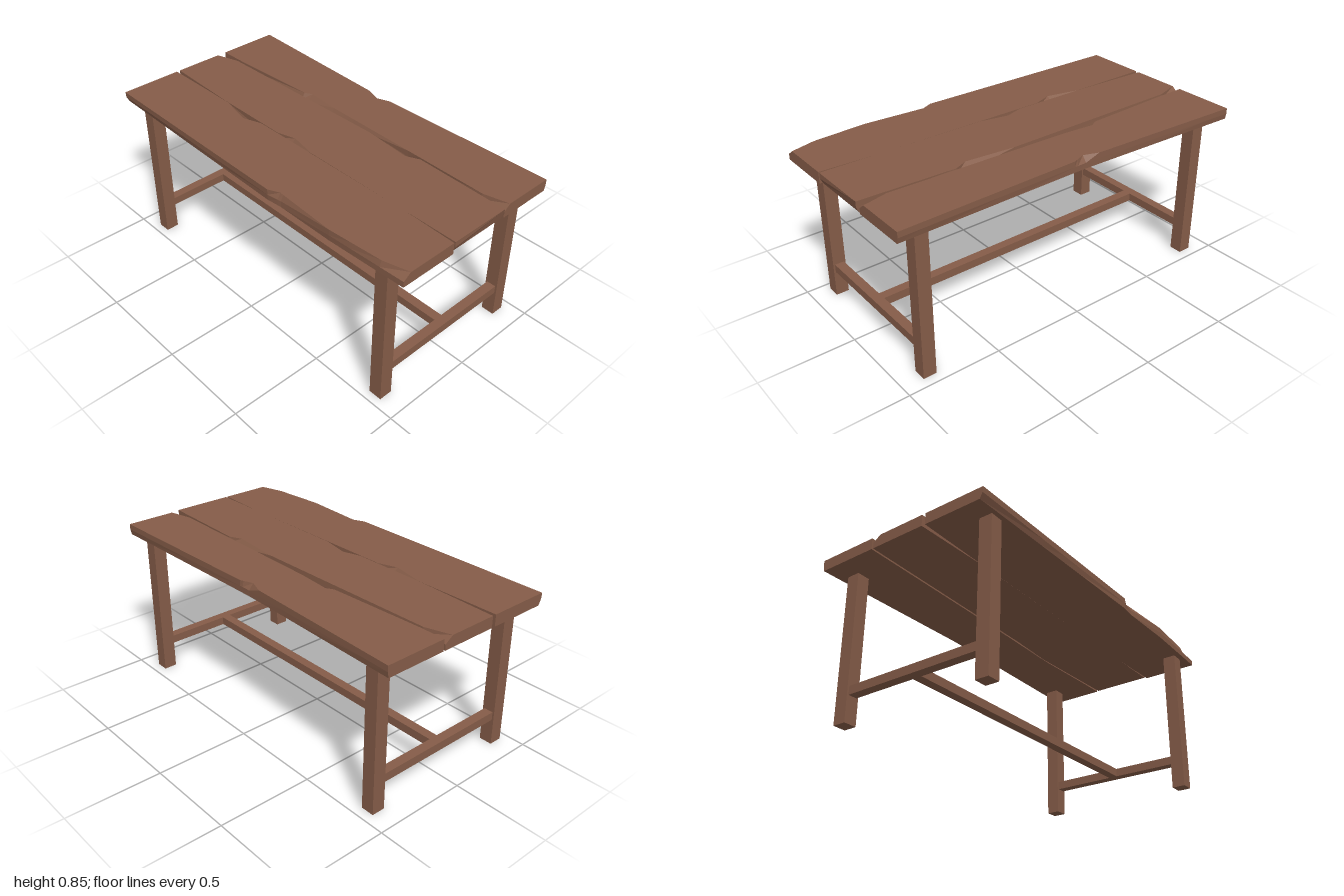
import * as THREE from 'three';

const wood = new THREE.MeshStandardMaterial({ color: 0x855c48 });
wood.name = 'brown wood';
wood.flatShading = true;

const TOP = 0.85, MID = 0.82, BOTTOM = 0.79;

// z of an edge line, given as [x, z] points, at a station x
function edgeAt(points, x) {
  for (let i = 1; i < points.length; i++) {
    const [x0, z0] = points[i - 1], [x1, z1] = points[i];
    if (x <= x1) return z0 + (z1 - z0) * Math.max(0, (x - x0) / (x1 - x0));
  }
  return points[points.length - 1][1];
}

// Rough plank: six-cornered sections lofted along x.
// back and front each hold the edge lines at the top, middle and bottom.
function plank(name, back, front, endCut = 0) {
  const lines = [back.top, front.top, front.mid, front.bottom, back.bottom, back.mid];
  const heights = [TOP, TOP, MID, BOTTOM, BOTTOM, MID];
  const xs = [...new Set(lines.flat().map(p => p[0]))].sort((a, b) => a - b);
  const positions = [], index = [], last = xs.length - 1;
  xs.forEach((x, i) => lines.forEach((line, k) => {
    const cut = i === last && (k === 3 || k === 4) ? endCut : 0;
    positions.push(x - cut, heights[k], edgeAt(line, x));
  }));
  for (let i = 0; i < last; i++) {
    for (let k = 0; k < 6; k++) {
      const a = i * 6 + k, b = i * 6 + (k + 1) % 6, c = a + 6, d = b + 6;
      index.push(a, b, c, b, d, c);
    }
  }
  for (let k = 1; k < 5; k++) {
    index.push(0, k + 1, k);
    index.push(last * 6, last * 6 + k, last * 6 + k + 1);
  }
  const indexed = new THREE.BufferGeometry();
  indexed.setAttribute('position', new THREE.Float32BufferAttribute(positions, 3));
  indexed.setIndex(index);
  const geometry = indexed.toNonIndexed();
  geometry.computeVertexNormals();
  const mesh = new THREE.Mesh(geometry, wood);
  mesh.name = name;
  return mesh;
}

function beam(name, w, h, d, x, y, z) {
  const mesh = new THREE.Mesh(new THREE.BoxGeometry(w, h, d), wood);
  mesh.name = name;
  mesh.position.set(x, y, z);
  return mesh;
}

export function createModel() {
  const table = new THREE.Group();
  table.name = 'table';

  // Back plank
  const backOuter = [[-1, -0.505], [-0.05, -0.465], [0.99, -0.485]];
  const backInner = [[-1, -0.175], [0, -0.185], [0.45, -0.195], [0.85, -0.18], [0.99, -0.178]];
  table.add(plank('backPlank', {
    top: [[-1, -0.505], [-0.13, -0.468], [-0.05, -0.44], [0.02, -0.466], [0.99, -0.485]],
    mid: backOuter,
    bottom: [[-1, -0.5], [-0.05, -0.465], [0.99, -0.478]],
  }, {
    top: [[-1, -0.175], [-0.85, -0.177], [-0.35, -0.2], [-0.31, -0.222], [-0.13, -0.207],
      [0.4, -0.195], [0.86, -0.184], [0.99, -0.215]],
    mid: backInner,
    bottom: backInner,
  }));

  // Middle plank
  const middleBack = [[-1, -0.165], [0.15, -0.178], [0.42, -0.19], [1, -0.165]];
  const middleFront = [[-1, 0.14], [-0.58, 0.157], [1, 0.165]];
  table.add(plank('middlePlank', {
    top: [[-1, -0.123], [-0.87, -0.163], [0.15, -0.176], [0.42, -0.152], [0.49, -0.183], [1, -0.165]],
    mid: middleBack,
    bottom: middleBack,
  }, {
    top: [[-1, 0.14], [-0.58, 0.157], [-0.15, 0.159], [-0.05, 0.13], [0.1, 0.16], [1, 0.165]],
    mid: middleFront,
    bottom: middleFront,
  }, 0.015));

  // Front plank
  const frontBack = [[-1, 0.16], [-0.55, 0.158], [0.7, 0.163], [1, 0.174]];
  table.add(plank('frontPlank', {
    top: [[-1, 0.16], [-0.55, 0.158], [-0.37, 0.197], [-0.27, 0.162], [0.7, 0.163], [1, 0.174]],
    mid: frontBack,
    bottom: frontBack,
  }, {
    top: [[-1, 0.492], [0.18, 0.502], [0.24, 0.475], [0.58, 0.496], [0.87, 0.475], [1, 0.44]],
    mid: [[-1, 0.49], [0.18, 0.502], [0.26, 0.49], [0.58, 0.497], [0.87, 0.485], [1, 0.48]],
    bottom: [[-1, 0.475], [0.18, 0.5], [0.26, 0.492], [0.58, 0.495], [0.87, 0.485], [1, 0.48]],
  }));

  // Legs and the side rails between them
  for (const [side, sx] of [['left', 1], ['right', -1]]) {
    table.add(beam(side + 'FrontLeg', 0.07, 0.8, 0.071, sx * 0.855, 0.4, 0.419));
    table.add(beam(side + 'BackLeg', 0.07, 0.8, 0.071, sx * 0.855, 0.4, -0.411));
    table.add(beam(side + 'Rail', 0.05, 0.045, 0.76, sx * 0.855, 0.162, 0.004));
  }

  // Long rail joining the side rails
  table.add(beam('longRail', 1.66, 0.045, 0.05, 0, 0.162, 0.004));
  return table;
}
